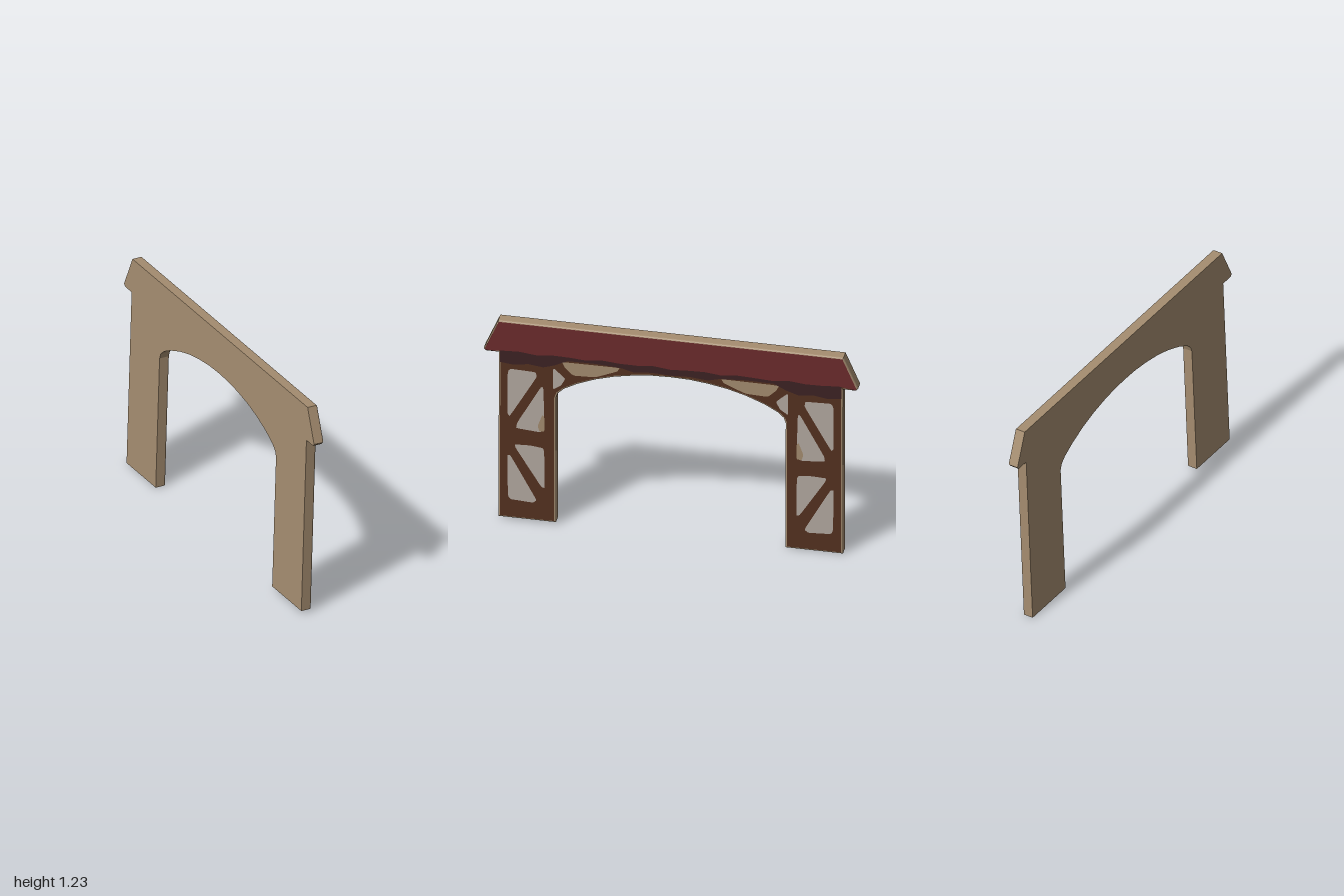
import * as THREE from 'three';

const mat = (name, color) => {
  const m = new THREE.MeshStandardMaterial({ color });
  m.name = name;
  return m;
};

// Closed shape with softened corners
function softShape(pts, k = 0.15) {
  const v = pts.map(([x, y]) => new THREE.Vector2(x, y));
  const s = new THREE.Shape();
  v.forEach((p, i) => {
    const a = p.clone().lerp(v[(i + v.length - 1) % v.length], k);
    const b = p.clone().lerp(v[(i + 1) % v.length], k);
    if (i === 0) s.moveTo(a.x, a.y);
    else s.lineTo(a.x, a.y);
    s.quadraticCurveTo(p.x, p.y, b.x, b.y);
  });
  s.closePath();
  return s;
}

const sharpShape = (pts) => new THREE.Shape(pts.map(([x, y]) => new THREE.Vector2(x, y)));
const mirror = (pts) => pts.map(([x, y]) => [-x, y]);
// Half profile (centre outwards) to a full symmetric row, left to right
const bothSides = (half) => [...mirror(half).reverse(), ...half.filter(([x]) => x > 0)];

export function createModel() {
  const beige = mat('beige plaster edge', 0xa58d70);
  const brown = mat('brown timber', 0x543220);
  const red = mat('red roof', 0x6c2b2c);
  const shade = mat('dark eave', 0x3d2224);
  const plaster = mat('pale plaster', 0xb3aaa1);

  const model = new THREE.Group();
  model.name = 'archway';
  const panel = new THREE.Group();
  panel.name = 'gatePanel';
  panel.rotation.y = Math.PI / 2; // painted face looks to +x
  model.add(panel);

  const add = (name, geo, material, z) => {
    const m = new THREE.Mesh(geo, material);
    m.name = name;
    m.position.z = z;
    panel.add(m);
    return m;
  };

  // Outline: two legs, low arch, flared roof
  const base = 0.0125;
  const arch = [[0, 0.985], [0.1, 0.982], [0.2, 0.97], [0.3, 0.951], [0.4, 0.922],
    [0.5, 0.881], [0.57, 0.842], [0.602, 0.812], [0.613, 0.78]];
  const side = [[0.613, base], [0.92, base], [0.92, 1.027], [0.99, 1.027], [1.0, 1.04], [0.922, 1.223]];
  const archRow = bothSides(arch);
  const outline = sharpShape([...archRow, ...side, ...mirror(side).reverse()]);

  // Slab with a rounded front rim; the rim's cap is the timber face
  const back = -0.055, rim = 0.01, front = 0.005;
  add('wallSlab', new THREE.ExtrudeGeometry(outline, {
    depth: front - rim - back, bevelEnabled: false, curveSegments: 4,
  }), beige, back);
  add('timberFace', new THREE.ExtrudeGeometry(outline, {
    depth: 0.001, bevelThickness: rim, bevelSize: rim, bevelOffset: -rim, bevelSegments: 3,
  }), [brown, beige], front - rim - 0.001);

  const plate = (name, shape, material, layer) =>
    add(name, new THREE.ShapeGeometry(shape, 4), material, front + 0.0015 * layer);

  // Shadowed band below the eave, with a ragged lower edge
  const bandLow = [[0, 1.0], [0.1, 1.005], [0.2, 0.995], [0.26, 1.012], [0.4, 1.022], [0.55, 1.02],
    [0.62, 0.985], [0.68, 0.965], [0.76, 0.975], [0.84, 0.962], [0.912, 0.97]];
  plate('eaveBand', sharpShape([...bothSides(bandLow), [0.912, 1.06], [-0.912, 1.06]]), shade, 1);

  // Roof face with a slightly wavy eave line
  const eave = [];
  for (let i = 0; i <= 20; i++) {
    const x = -0.9 + i * 0.09;
    eave.push([x, 1.042 + 0.006 * Math.sin(i * 2.3)]);
  }
  plate('roofFace', sharpShape([[-0.988, 1.034], ...eave, [0.988, 1.034], [0.993, 1.042],
    [0.918, 1.217], [-0.918, 1.217], [-0.993, 1.042]]), red, 2);

  // Plaster fields between the timbers, mirrored on both legs
  const fields = [
    ['upperOuterField', [[-0.87, 0.935], [-0.72, 0.93], [-0.715, 0.90], [-0.86, 0.64], [-0.872, 0.66]], plaster, 1],
    ['upperInnerField', [[-0.68, 0.865], [-0.673, 0.575], [-0.70, 0.562], [-0.825, 0.572], [-0.82, 0.605]], plaster, 1],
    ['lowerInnerField', [[-0.84, 0.47], [-0.75, 0.474], [-0.675, 0.465], [-0.672, 0.22], [-0.69, 0.225]], plaster, 1],
    ['lowerOuterField', [[-0.872, 0.40], [-0.855, 0.40], [-0.715, 0.14], [-0.735, 0.122], [-0.868, 0.13]], plaster, 1],
    ['cornerField', [[-0.628, 0.97], [-0.562, 0.91], [-0.585, 0.865], [-0.628, 0.835]], plaster, 1],
    ['archField', [[-0.58, 1.012], [-0.27, 1.014], [-0.285, 0.99], [-0.40, 0.94], [-0.52, 0.935], [-0.565, 0.98]], beige, 2],
    ['agedPatch', [[-0.685, 0.67], [-0.674, 0.66], [-0.674, 0.57], [-0.70, 0.566], [-0.71, 0.60]], beige, 2],
  ];
  for (const [name, pts, material, layer] of fields) {
    plate(name + 'Left', softShape(pts), material, layer);
    plate(name + 'Right', softShape(mirror(pts).reverse()), material, layer);
  }

  // Whole panel stands a little askew
  model.rotation.set(-0.008, -0.016, -0.035);
  const root = new THREE.Group();
  root.name = 'timberArch';
  root.add(model);
  return root;
}
